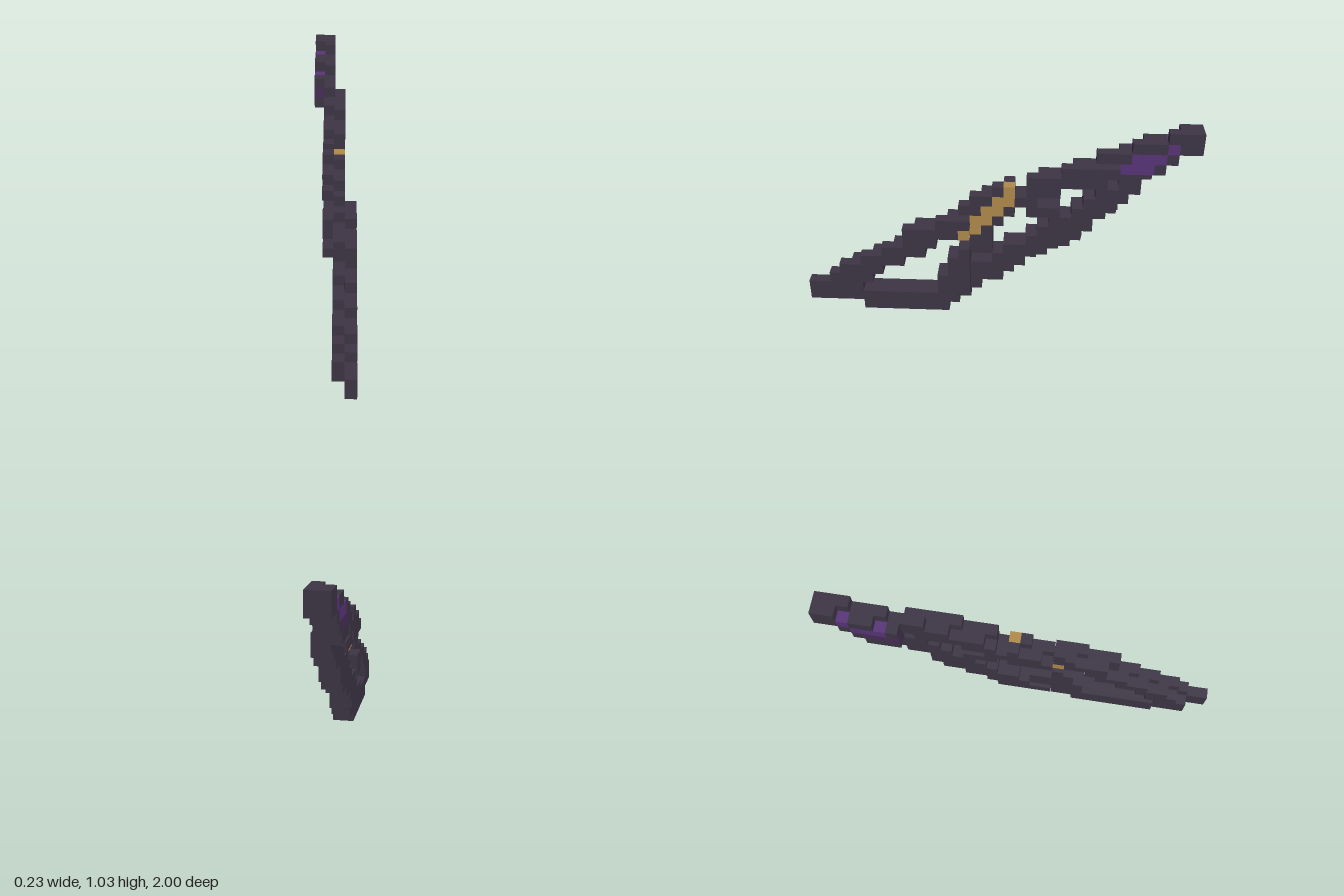
import * as THREE from 'three';

// Cell size; columns run from the front tip to the back, rows go upward
const S = 2 / 35;

// Each row, bottom to top: runs of [first column, last column]
const darkRows = [
  [[5, 12]],
  [[0, 14]],
  [[0, 4], [12, 15]],
  [[2, 5], [12, 17]],
  [[3, 6], [13, 19]],
  [[5, 8], [13, 14], [17, 20]],
  [[7, 10], [14, 16], [18, 22]],
  [[9, 11], [15, 16], [20, 24]],
  [[9, 13], [16, 16], [21, 25]],
  [[12, 14], [17, 17], [22, 25]],
  [[14, 15], [18, 18], [20, 22], [24, 27]],
  [[15, 16], [19, 20], [25, 28]],
  [[17, 17], [20, 22], [26, 29]],
  [[20, 26], [28, 30]],
  [[23, 27], [31, 31]],
  [[26, 28], [32, 32]],
  [[29, 31], [33, 34]],
  [[32, 34]],
];
const goldRows = { 8: [[14, 15]], 9: [[15, 16]], 10: [[16, 17]], 11: [[17, 18]], 12: [[18, 18]] };
const purpleRows = { 14: [[28, 30]], 15: [[29, 31]], 16: [[32, 32]] };

// Four stepped layers across x, so the bow slants sideways as it rises
const bounds = [
  (c, r) => c >= 28 && r >= 13,
  (c, r) => c >= 15 && r >= 4 && !(c <= 17 && (r === 8 || r === 9)),
  (c, r) => c >= 2 && c <= 27 && r <= 14,
  (c, r) => c <= 14 && r <= 9,
];

// The two layers of a pair are staggered: at each step the right one starts
// a cell later along the top, and the left one ends a cell sooner underneath
function filled(layer, c, r) {
  if (!bounds[layer](c, r)) return false;
  const row = darkRows[r];
  const leftNeighbour = layer < 3 && bounds[layer + 1](c, r);
  const rightNeighbour = layer > 0 && bounds[layer - 1](c, r);
  if (r >= 3 && c === row[0][0] && leftNeighbour) return false;
  if (r >= 1 && r <= 13 && c === row[row.length - 1][1] && rightNeighbour) return false;
  return true;
}

export function createModel() {
  const group = new THREE.Group();
  const material = (name, color) => {
    const m = new THREE.MeshStandardMaterial({ color });
    m.name = name;
    return m;
  };
  const dark = material('dark', 0x3d3545);
  const gold = material('gold', 0xb08a4b);
  const purple = material('purple', 0x59357a);
  const deepPurple = material('deepPurple', 0x472d59);

  const addRun = (part, mat, layer, row, first, last) => {
    const n = last - first + 1;
    const mesh = new THREE.Mesh(new THREE.BoxGeometry(S, S, S * n), mat);
    mesh.position.set((layer - 1.5) * S, (row + 0.5) * S, 1 - (first + n / 2) * S);
    mesh.name = part.name + 'Block';
    part.add(mesh);
  };

  // Join neighbouring cells of one layer into a single bar
  const addPart = (name, rows, pickMaterial) => {
    const part = new THREE.Group();
    part.name = name;
    for (const key of Object.keys(rows)) {
      const row = Number(key);
      for (const [a, b] of rows[key]) {
        for (let layer = 0; layer < 4; layer++) {
          let start = -1;
          for (let c = a; c <= b + 1; c++) {
            const on = c <= b && filled(layer, c, row);
            if (on && start < 0) start = c;
            if (!on && start >= 0) {
              addRun(part, pickMaterial(layer, row), layer, row, start, c - 1);
              start = -1;
            }
          }
        }
      }
    }
    group.add(part);
  };

  addPart('frame', darkRows, () => dark);
  // The upper grip is backed by dark cells on its right side
  addPart('grip', goldRows, (layer) => (layer === 1 ? dark : gold));
  addPart('gem', purpleRows, (layer, row) => (layer === 0 && row === 14 ? deepPurple : purple));
  return group;
}
